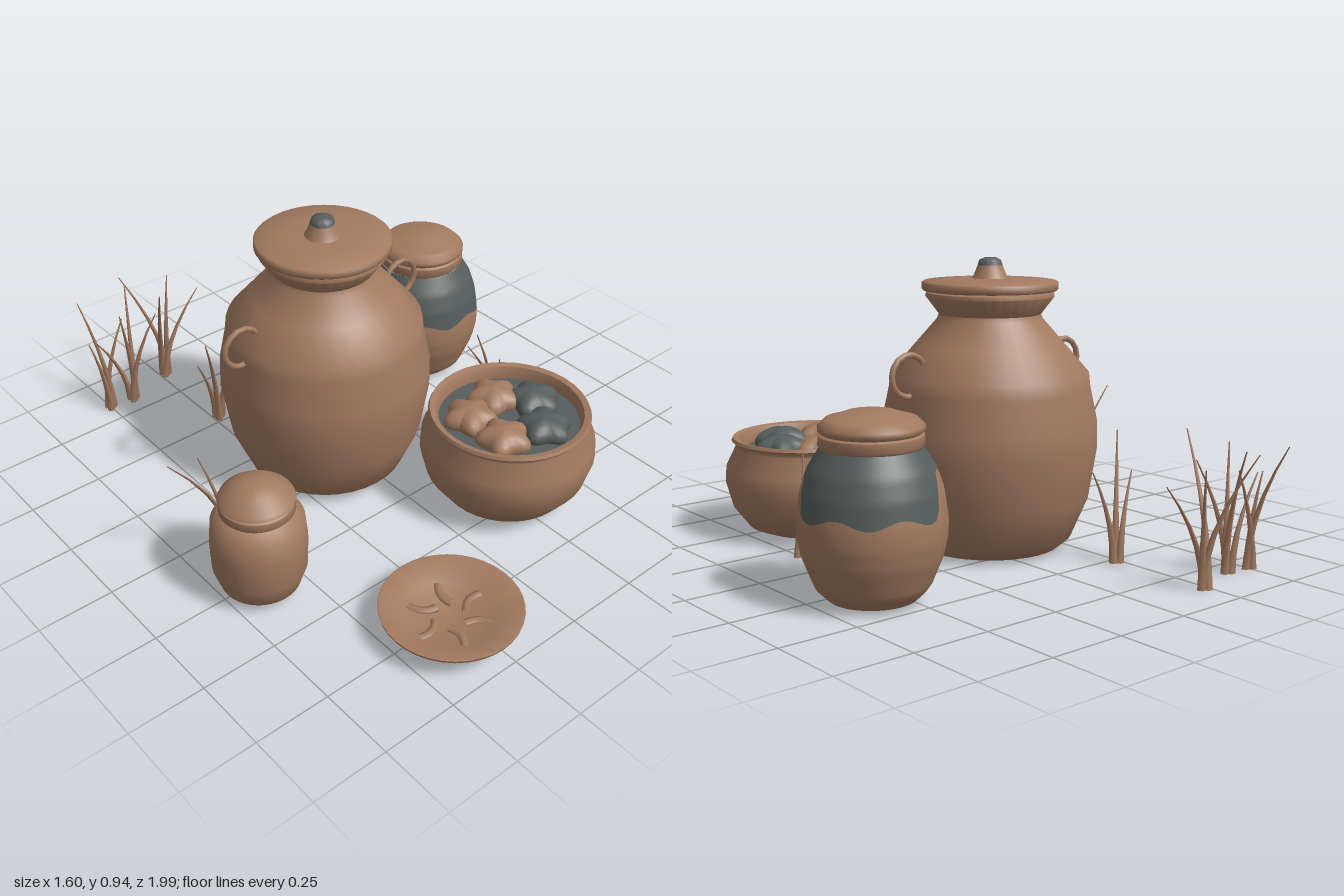
import * as THREE from 'three';
import { toCreasedNormals } from 'three/addons/utils/BufferGeometryUtils.js';

export function createModel() {
  const clay = new THREE.MeshStandardMaterial({ color: 0xa27a60 });
  clay.name = 'clay';
  const glaze = new THREE.MeshStandardMaterial({ color: 0x565d5c });
  glaze.name = 'glaze';
  const model = new THREE.Group();
  model.name = 'potteryYard';

  const group = (name, x, z) => {
    const g = new THREE.Group();
    g.name = name;
    g.position.set(x, 0, z);
    model.add(g);
    return g;
  };
  const add = (parent, name, geometry, material = clay) => {
    const mesh = new THREE.Mesh(geometry, material);
    mesh.name = name;
    parent.add(mesh);
    return mesh;
  };
  const turned = (points, segments = 36) => toCreasedNormals(
    new THREE.LatheGeometry(points.map(p => new THREE.Vector2(p[0], p[1])), segments), 0.9);

  // Large lidded jar
  const jar = group('largeJar', -0.065, -0.105);
  add(jar, 'jarBody', turned([[0, 0.01], [0.235, 0.01], [0.27, 0.04], [0.325, 0.17], [0.352, 0.34],
    [0.35, 0.42], [0.327, 0.53], [0.322, 0.575], [0.24, 0.67], [0.17, 0.75], [0.165, 0.765],
    [0.208, 0.822], [0.205, 0.834], [0.185, 0.842], [0, 0.842]]));
  add(jar, 'jarLid', turned([[0, 0.84], [0.214, 0.84], [0.22, 0.846], [0.22, 0.865], [0.214, 0.87],
    [0.12, 0.877], [0, 0.88]]));
  add(jar, 'lidKnob', turned([[0.062, 0.875], [0.054, 0.885], [0.04, 0.92]], 20));
  add(jar, 'knobCap', turned([[0.04, 0.92], [0.035, 0.936], [0.018, 0.944], [0, 0.945]], 20), glaze);
  for (const side of [-1, 1]) {
    const handle = add(jar, 'jarHandle', new THREE.TorusGeometry(0.066, 0.01, 6, 14));
    handle.position.set(side * 0.33, 0.592, 0);
  }

  // Jar with a dripping glaze, split along a wavy line
  const glazed = group('glazedJar', 0.578, -0.338);
  const wall = [[0.13, 0.01], [0.167, 0.045], [0.205, 0.14], [0.217, 0.2], [0.217, 0.25],
    [0.205, 0.33], [0.185, 0.39], [0.148, 0.45]];
  const radiusAt = y => {
    let i = 1;
    while (i < wall.length - 1 && wall[i][1] < y) i++;
    const [r0, y0] = wall[i - 1], [r1, y1] = wall[i];
    return r0 + (r1 - r0) * (y - y0) / (y1 - y0);
  };
  const bump = (a, centre, width) => {
    const d = Math.atan2(Math.sin(a - centre), Math.cos(a - centre)) / width;
    return Math.exp(-d * d * d * d);
  };
  const drip = a => 0.27 + 0.012 * Math.sin(7 * a) + 0.09 * bump(a, 1.03, 0.22)
    + 0.11 * bump(a, -2.37, 0.3);
  const band = (low, high) => {
    const around = 72, rows = 16, pos = [], index = [];
    for (let j = 0; j <= rows; j++) {
      for (let i = 0; i < around; i++) {
        const a = i / around * Math.PI * 2;
        const y = low(a) + (high(a) - low(a)) * j / rows, r = radiusAt(y);
        pos.push(r * Math.sin(a), y, r * Math.cos(a));
        if (j < rows) {
          const n = (i + 1) % around, p = j * around, q = p + around;
          index.push(p + i, p + n, q + n, p + i, q + n, q + i);
        }
      }
    }
    const g = new THREE.BufferGeometry();
    g.setAttribute('position', new THREE.Float32BufferAttribute(pos, 3));
    g.setIndex(index);
    g.computeVertexNormals();
    return g;
  };
  add(glazed, 'clayWall', band(() => 0.01, drip));
  add(glazed, 'glazeCoat', band(drip, () => 0.45), glaze);
  add(glazed, 'glazedJarBase', turned([[0, 0.01], [0.13, 0.0101]]));
  add(glazed, 'glazedJarLid', turned([[0, 0.449], [0.146, 0.449], [0.153, 0.458], [0.151, 0.485],
    [0.143, 0.49], [0.153, 0.499], [0.153, 0.512], [0.132, 0.532], [0.12, 0.534], [0.07, 0.551], [0, 0.556]]));

  // Small jar with a domed cover
  const small = group('smallJar', -0.627, 0.27);
  add(small, 'smallJarBody', turned([[0, 0.01], [0.1, 0.01], [0.125, 0.035], [0.147, 0.1], [0.15, 0.2],
    [0.143, 0.275], [0.11, 0.31], [0, 0.31]]));
  add(small, 'smallJarLid', turned([[0, 0.308], [0.108, 0.308], [0.117, 0.318], [0.114, 0.342],
    [0.105, 0.347], [0.118, 0.355], [0.113, 0.365], [0.07, 0.4], [0.03, 0.413], [0, 0.415]]));

  // Open bowl with its filling
  const bowl = group('bowl', 0.285, 0.42);
  add(bowl, 'bowlBody', turned([[0, 0.01], [0.165, 0.01], [0.215, 0.03], [0.268, 0.1], [0.29, 0.18],
    [0.286, 0.235], [0.254, 0.3], [0.254, 0.31], [0.267, 0.322], [0.262, 0.332], [0.243, 0.328],
    [0.232, 0.3], [0.235, 0.26]]));
  add(bowl, 'bowlFilling', turned([[0.235, 0.285], [0, 0.286]]), glaze);
  const lumps = [[-0.105, -0.075, clay], [0.032, -0.105, clay], [-0.1, 0.075, clay],
    [0.122, -0.01, glaze], [0.043, 0.117, glaze]];
  lumps.forEach(([x, z, material], i) => {
    const g = new THREE.SphereGeometry(1, 30, 12), p = g.attributes.position;
    for (let k = 0; k < p.count; k++) {
      const s = 0.083 * (1 + 0.14 * Math.cos(5 * Math.atan2(p.getZ(k), p.getX(k))));
      p.setXYZ(k, p.getX(k) * s, p.getY(k) * 0.047, p.getZ(k) * s);
    }
    g.computeVertexNormals();
    const lump = add(bowl, 'starDumpling', g, material);
    lump.position.set(x, 0.3, z);
    lump.rotation.y = 0.3 + i * 1.1;
  });

  // Plate with a ring of small curved pieces
  const plate = group('plate', -0.3, 0.775);
  add(plate, 'plateDish', turned([[0, 0.01], [0.115, 0.01], [0.16, 0.028], [0.218, 0.078], [0.22, 0.086],
    [0.213, 0.088], [0.14, 0.05], [0, 0.036]]));
  for (let i = 0; i < 6; i++) {
    const a = i * Math.PI / 3;
    const curve = new THREE.QuadraticBezierCurve3(new THREE.Vector3(-0.035, 0, -0.018),
      new THREE.Vector3(0.015, 0, -0.02), new THREE.Vector3(0.035, 0, 0.03));
    const piece = add(plate, 'plateMorsel', new THREE.TubeGeometry(curve, 6, 0.014, 6));
    piece.scale.y = 0.7;
    piece.position.set(0.085 * Math.cos(a), 0.045, 0.085 * Math.sin(a));
    piece.rotation.y = -a + 0.9;
  }

  // Grass tufts: base x and z, then the tip of each blade
  const tufts = [
    [-0.5, -0.83, [[-0.52, 0.4, -0.95], [-0.555, 0.3, -0.83], [-0.4, 0.33, -0.86]]],
    [-0.41, -0.82, [[-0.33, 0.41, -0.94], [-0.31, 0.36, -0.77], [-0.53, 0.3, -0.83], [-0.45, 0.4, -0.78]]],
    [-0.23, -0.88, [[-0.32, 0.41, -0.995], [-0.07, 0.33, -0.865], [-0.31, 0.45, -0.73], [-0.15, 0.38, -0.94]]],
    [-0.23, -0.525, [[-0.135, 0.3, -0.51], [-0.325, 0.4, -0.43], [-0.32, 0.28, -0.5]]],
    [-0.6, 0.07, [[-0.8, 0.435, 0.07], [-0.66, 0.36, 0.01], [-0.62, 0.3, 0.15]]],
    [0.5, 0.16, [[0.32, 0.435, 0.18], [0.42, 0.41, 0.125], [0.46, 0.33, 0.2]]],
    [0.23, -0.1, [[0.32, 0.46, -0.245], [0.3, 0.35, -0.03]]],
  ];
  for (const [x, z, tips] of tufts) {
    const tuft = group('grassTuft', x, z);
    tips.forEach(([tx, ty, tz], i) => {
      const g = new THREE.CylinderGeometry(0.002, 0.014, 1, 5, 5), p = g.attributes.position;
      const bx = 0.012 * Math.cos(i * 2.1), bz = 0.012 * Math.sin(i * 2.1);
      for (let k = 0; k < p.count; k++) {
        const t = p.getY(k) + 0.5, bend = Math.pow(t, 1.8);
        p.setXYZ(k, p.getX(k) + bx + (tx - x - bx) * bend, ty * t, p.getZ(k) + bz + (tz - z - bz) * bend);
      }
      g.computeVertexNormals();
      add(tuft, 'grassBlade', g);
    });
  }
  return model;
}
